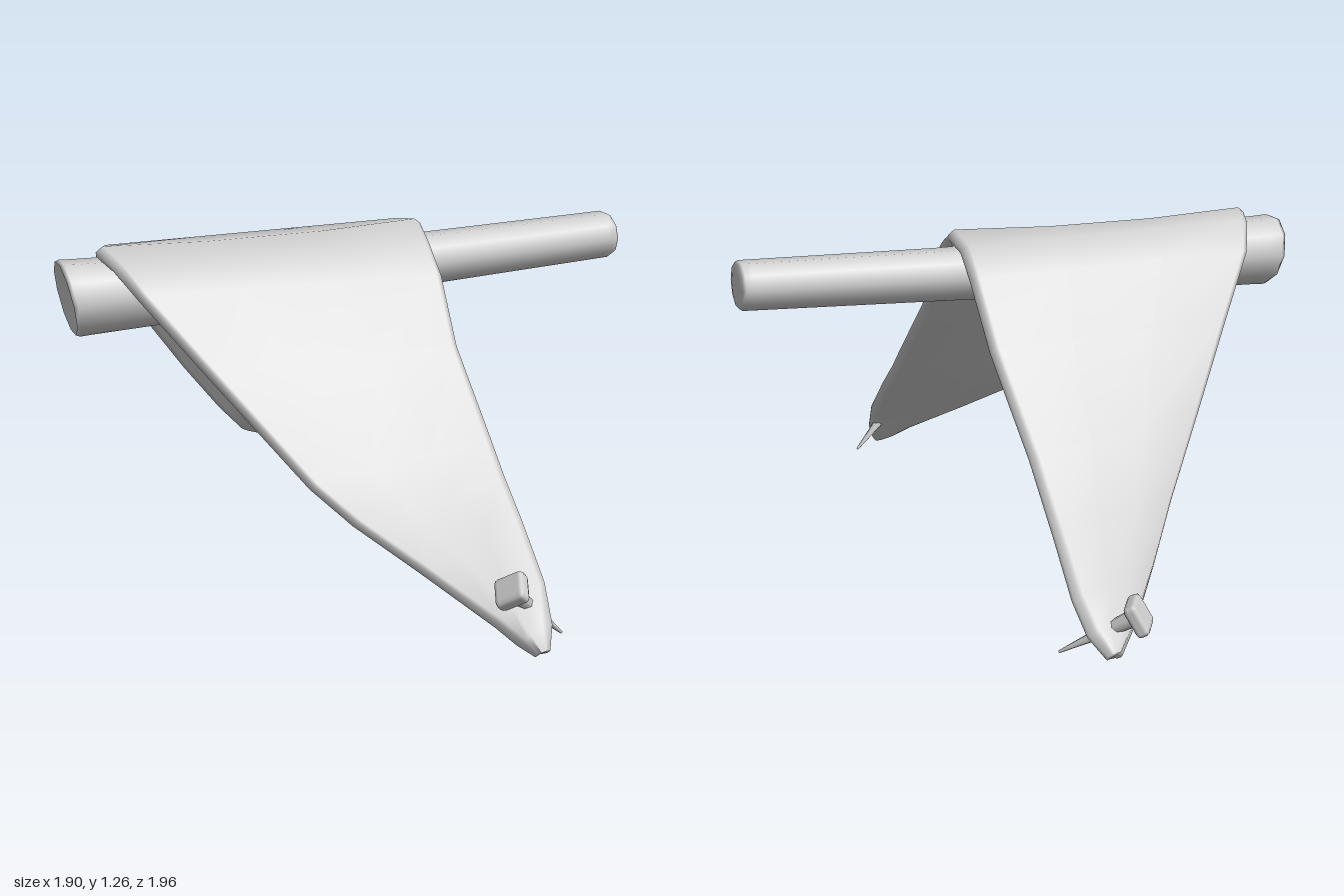
import * as THREE from 'three';
import { RoundedBoxGeometry } from 'three/addons/geometries/RoundedBoxGeometry.js';

const grey = new THREE.MeshStandardMaterial({ color: 0xcccccc });
grey.name = 'plain grey';

const V = (p) => new THREE.Vector3(...p);

// Each row is [left edge, right edge], from the front tip over the ridge to the back tip
const ROWS = [
  [[0.895, 0.035, 0.955], [0.94, 0.05, 0.925]],
  [[0.83, 0.065, 0.95], [0.935, 0.12, 0.87]],
  [[0.75, 0.115, 0.935], [0.89, 0.235, 0.79]],
  [[0.47, 0.265, 0.885], [0.78, 0.40, 0.65]],
  [[0.23, 0.395, 0.855], [0.70, 0.51, 0.555]],
  [[0.07, 0.505, 0.835], [0.63, 0.62, 0.47]],
  [[-0.30, 0.86, 0.795], [0.455, 0.88, 0.25]],
  [[-0.57, 1.12, 0.765], [0.36, 1.10, 0.10]],
  [[-0.67, 1.215, 0.725], [0.295, 1.205, 0.01]],
  [[-0.77, 1.26, 0.66], [0.23, 1.265, -0.09]],
  [[-0.81, 1.235, 0.545], [0.135, 1.235, -0.21]],
  [[-0.825, 1.13, 0.45], [0.075, 1.13, -0.285]],
  [[-0.785, 0.90, 0.23], [-0.035, 0.90, -0.40]],
  [[-0.74, 0.62, -0.05], [-0.24, 0.58, -0.60]],
  [[-0.70, 0.37, -0.32], [-0.38, 0.36, -0.77]],
  [[-0.685, 0.20, -0.55], [-0.48, 0.20, -0.90]],
  [[-0.68, 0.10, -0.80], [-0.55, 0.11, -0.97]],
  [[-0.665, 0.045, -0.95], [-0.62, 0.05, -0.99]],
].map((row) => row.map(V));
const RIDGE = 9;

// Thick hide: one closed cross-section with rounded edges per row
function hideGeometry() {
  const thick = 0.058;
  const pos = [], index = [];
  const mid = ROWS.map(([l, r]) => l.clone().lerp(r, 0.5));
  const last = ROWS.length - 1;
  let ring = 0;
  ROWS.forEach(([l, r], i) => {
    const s = r.clone().sub(l);
    const width = s.length();
    s.normalize();
    const t = mid[Math.min(i + 1, last)].clone().sub(mid[Math.max(i - 1, 0)]);
    const n = s.clone().cross(t).normalize();
    const inset = Math.min(0.028, width * 0.3);
    const spans = [inset, width * 0.33, width * 0.67, width - inset];
    const edge = [0.15, 0.38, 0.62, 0.85].map((h) => [inset * (1 - Math.sin(Math.PI * h)), h * thick]);
    const loop = [
      ...spans.map((d) => [d, 0]),
      ...edge.map(([d, h]) => [width - d, h]),
      ...spans.slice().reverse().map((d) => [d, thick]),
      ...edge.slice().reverse(),
    ];
    ring = loop.length;
    // the flaps lift a little off the row line, the ridge dips and the tips puff out
    const lift = Math.abs(i - RIDGE) > 1 ? 0.012 : 0;
    const tip = Math.min(i, last - i);
    const puff = tip === 1 || tip === 2 ? 0.022 : i === RIDGE ? -0.02 : 0;
    for (const [d, h] of loop) {
      const swell = h < thick / 2 ? puff * Math.sin((Math.PI * d) / width) : 0;
      const p = l.clone().addScaledVector(s, d).addScaledVector(n, lift + swell - h);
      pos.push(p.x, Math.max(p.y, 0.02), p.z);
    }
  });
  for (let i = 0; i < last; i++) {
    for (let j = 0; j < ring; j++) {
      const k = (j + 1) % ring;
      const a = i * ring + j, b = i * ring + k, c = a + ring, d = b + ring;
      index.push(a, b, d, a, d, c);
    }
  }
  // close both tips
  for (let j = 1; j < ring - 1; j++) {
    index.push(0, j + 1, j);
    index.push(last * ring, last * ring + j, last * ring + j + 1);
  }
  const g = new THREE.BufferGeometry();
  g.setAttribute('position', new THREE.Float32BufferAttribute(pos, 3));
  g.setIndex(index);
  g.computeVertexNormals();
  return g;
}

// Tapered pole, slightly bowed, with a slanted thick end and a flatter thin end
function makePole() {
  const a = V([-0.865, 1.08, 0.722]), b = V([0.862, 1.13, -0.6]);
  const dir = b.clone().sub(a);
  const len = dir.length(), r0 = 0.14, r1 = 0.107;
  const profile = [
    [0, 0.03], [r0 * 0.7, 0.022], [r0 * 0.96, 0], [r0, 0.015], [r0 - 0.002, 0.06],
    [0.122, len * 0.35], [0.11, len * 0.65],
    [r1, len - 0.04], [r1, len - 0.012], [r1 * 0.92, len], [r1 * 0.6, len + 0.004], [0, len + 0.004],
  ].map(([x, y]) => new THREE.Vector2(x, y));
  const g = new THREE.LatheGeometry(profile, 10);
  g.rotateZ(-Math.PI / 2);
  const p = g.attributes.position;
  for (let i = 0; i < p.count; i++) {
    const x = p.getX(i), y = p.getY(i), u = THREE.MathUtils.clamp(x / len, 0, 1);
    p.setX(i, x - (1 - u) ** 2 * 0.15 * y);
    p.setY(i, y * (1 - 0.15 * u) - 0.012 * Math.sin(Math.PI * u));
  }
  const pole = new THREE.Mesh(g, grey);
  pole.name = 'pole';
  pole.position.copy(a);
  pole.rotation.set(0, Math.atan2(-dir.z, dir.x), Math.asin(dir.y / len));
  return pole;
}

// Peg with a block head outside the hide and a point coming through it
function makePeg(name, head, tip, size, turn) {
  const peg = new THREE.Group();
  peg.name = name;
  const a = V(head), b = V(tip);
  const len = a.distanceTo(b);
  const block = new THREE.Mesh(new RoundedBoxGeometry(...size, 1, 0.018), grey);
  block.name = 'pegHead';
  block.rotation.y = turn;
  const spike = new THREE.Mesh(new THREE.CylinderGeometry(0.005, 0.034, len, 7), grey);
  spike.name = 'pegSpike';
  spike.position.y = len / 2;
  peg.add(block, spike);
  peg.position.copy(a);
  peg.quaternion.setFromUnitVectors(new THREE.Vector3(0, 1, 0), b.sub(a).normalize());
  return peg;
}

export function createModel() {
  const model = new THREE.Group();
  model.name = 'hideOverPole';
  const hide = new THREE.Mesh(hideGeometry(), grey);
  hide.name = 'hide';
  model.add(
    hide,
    makePole(),
    makePeg('frontPeg', [0.8, 0.245, 0.922], [0.945, 0.03, 0.745], [0.11, 0.055, 0.115], 0.1),
    makePeg('backPeg', [-0.7, 0.165, -0.895], [-0.43, 0.005, -0.92], [0.12, 0.05, 0.135], 0.1),
  );
  return model;
}
